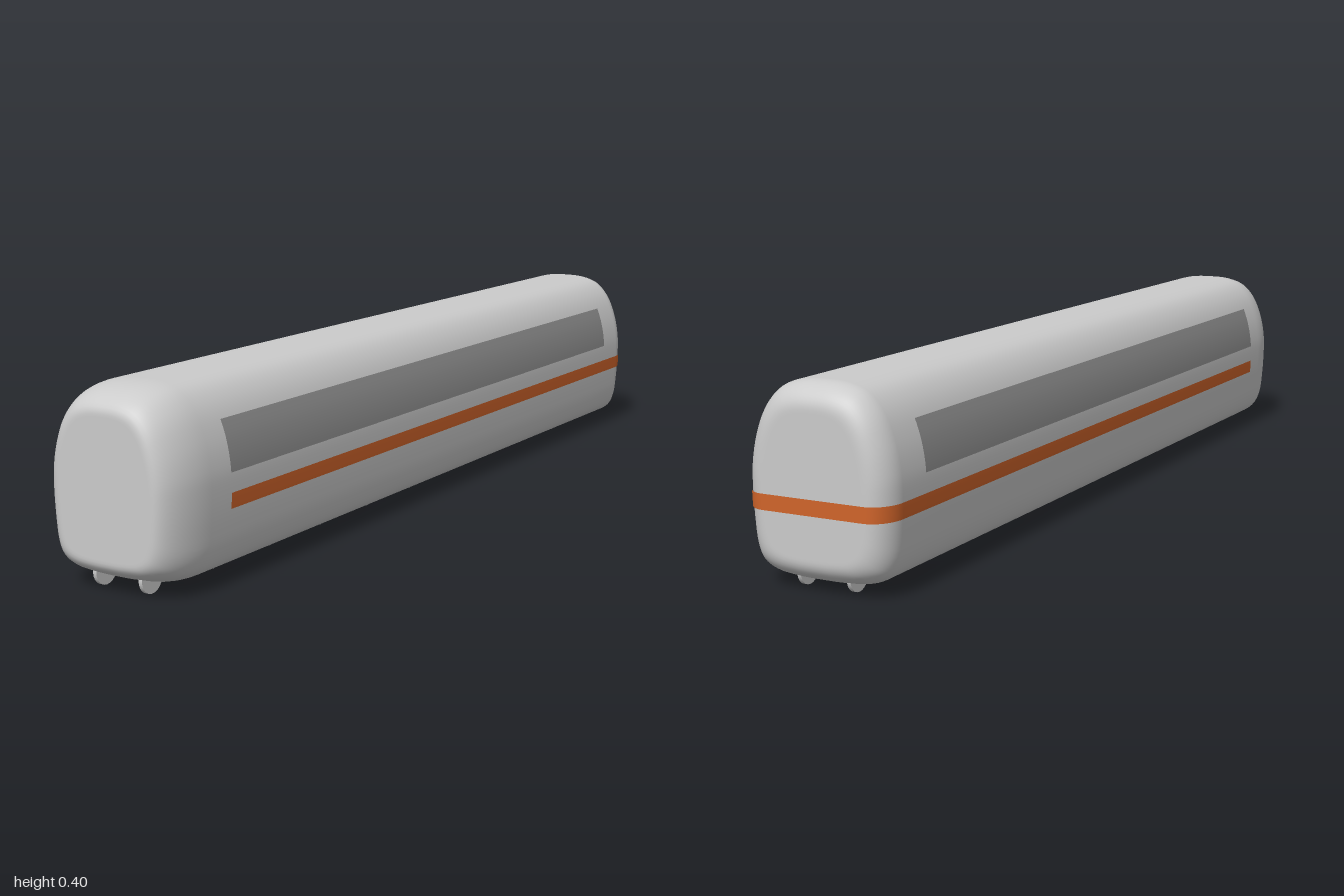
import * as THREE from 'three';

const MID = 0.2, END = 0.9985, INSET = 0.048;
const FRONT = 0.12, BACK = 0.06; // length of the rounding at each end

// Right half of the hull section, top to bottom
const HALF = [[0, 0.395], [0.05, 0.392], [0.09, 0.378], [0.122, 0.344], [0.145, 0.29], [0.156, 0.235],
  [0.1575, 0.19], [0.154, 0.12], [0.147, 0.068], [0.134, 0.041], [0.105, 0.025], [0.05, 0.018], [0, 0.017]];
const loop = [...HALF, ...HALF.slice(1, -1).reverse().map(([x, y]) => [-x, y])];
const SECTION = new THREE.CatmullRomCurve3(loop.map(([x, y]) => new THREE.Vector3(x, y, 0)), true).getPoints(96).slice(0, -1);

// Half width of the full section at a height
function halfWidth(y) {
  for (let i = 0; i < 48; i++) {
    const a = SECTION[i], b = SECTION[i + 1];
    if (y <= a.y && y >= b.y) return a.x + (b.x - a.x) * (a.y - y) / (a.y - b.y || 1);
  }
  return 0;
}

// How far the section shrinks at a station along the length
function insetAt(z) {
  const t = z > 0 ? (z - END + FRONT) / FRONT : (-z - END + BACK) / BACK;
  return t <= 0 ? 0 : INSET * (1 - Math.sqrt(Math.max(0, 1 - t * t)));
}
const scaleX = z => 1 - insetAt(z) / 0.1575;
const scaleY = z => 1 - insetAt(z) / 0.19;

// Stations from front to back, packed closely around the rounded ends
const STATIONS = [];
for (let i = 0; i <= 12; i++) STATIONS.push(END - FRONT + FRONT * Math.cos(i / 12 * Math.PI / 2));
for (let i = 1; i < 12; i++) STATIONS.push(THREE.MathUtils.lerp(END - FRONT, -END + BACK, i / 12));
for (let i = 0; i <= 12; i++) STATIONS.push(-END + BACK - BACK * Math.sin(i / 12 * Math.PI / 2));

// Smooth skin over rows of points
function skin(rows, closed) {
  const n = rows[0].length, index = [];
  for (let i = 0; i < rows.length - 1; i++) {
    for (let j = 0; j < (closed ? n : n - 1); j++) {
      const a = i * n + j, b = i * n + (j + 1) % n;
      index.push(a, b, a + n, b, b + n, a + n);
    }
  }
  const g = new THREE.BufferGeometry();
  g.setAttribute('position', new THREE.Float32BufferAttribute(rows.flat(2), 3));
  g.setIndex(index);
  g.computeVertexNormals();
  return g;
}

// Hull: the section swept along the stations, with flat end faces
function hullGeometry() {
  const ring = (z, k) => SECTION.map(p => [p.x * scaleX(z) * k, MID + (p.y - MID) * scaleY(z) * k, z]);
  const caps = [0.001, 0.5, 0.96];
  return skin([
    ...caps.map(k => ring(END, k)),
    ...STATIONS.map(z => ring(z, 1)),
    ...caps.slice().reverse().map(k => ring(-END, k)),
  ], true);
}

// Column of points on the hull side, from the upper to the lower height
function column(z, side, top, bottom) {
  const out = [], steps = 10;
  for (let j = 0; j <= steps; j++) {
    const y = top + (bottom - top) * j / steps;
    const x = halfWidth(MID + (y - MID) / scaleY(z)) * scaleX(z) + 0.0015;
    out.push([side * x, y, z < -END + BACK ? z - 0.0015 : z]);
  }
  return out;
}

// Columns along one side between two stations
function sideBand(side, from, to, top, bottom) {
  const zs = [from, ...STATIONS.filter(z => z < from && z > to), to];
  const rows = zs.map(z => column(z, side, top, bottom));
  return side > 0 ? rows : rows.reverse();
}

export function createModel() {
  const group = new THREE.Group();
  const material = color => new THREE.MeshStandardMaterial({ color });
  const grey = material(0xcccccc), glass = material(0x8c8c8c), orange = material(0xd0642a);
  const add = (name, geometry, mat) => {
    const mesh = new THREE.Mesh(geometry, mat);
    mesh.name = name;
    group.add(mesh);
    return mesh;
  };

  add('hull', hullGeometry(), grey);

  // Long window band on each side
  add('leftWindow', skin(sideBand(1, 0.82, -0.86, 0.32, 0.22)), glass);
  add('rightWindow', skin(sideBand(-1, 0.82, -0.86, 0.32, 0.22)), glass);

  // Stripe along both sides and around the back
  const left = sideBand(1, 0.82, -END, 0.181, 0.15);
  const right = sideBand(-1, 0.82, -END, 0.181, 0.15);
  add('stripe', skin([...left, ...right]), orange);

  // Two rows of thin wheels under the floor
  const wheel = new THREE.CylinderGeometry(0.03, 0.03, 0.008, 24).rotateZ(Math.PI / 2);
  for (const side of [1, -1]) {
    for (let i = 0; i < 11; i++) {
      add(side > 0 ? 'leftWheel' : 'rightWheel', wheel, grey)
        .position.set(side * 0.055, 0.03, 0.9375 - i * 0.1875);
    }
  }
  return group;
}
